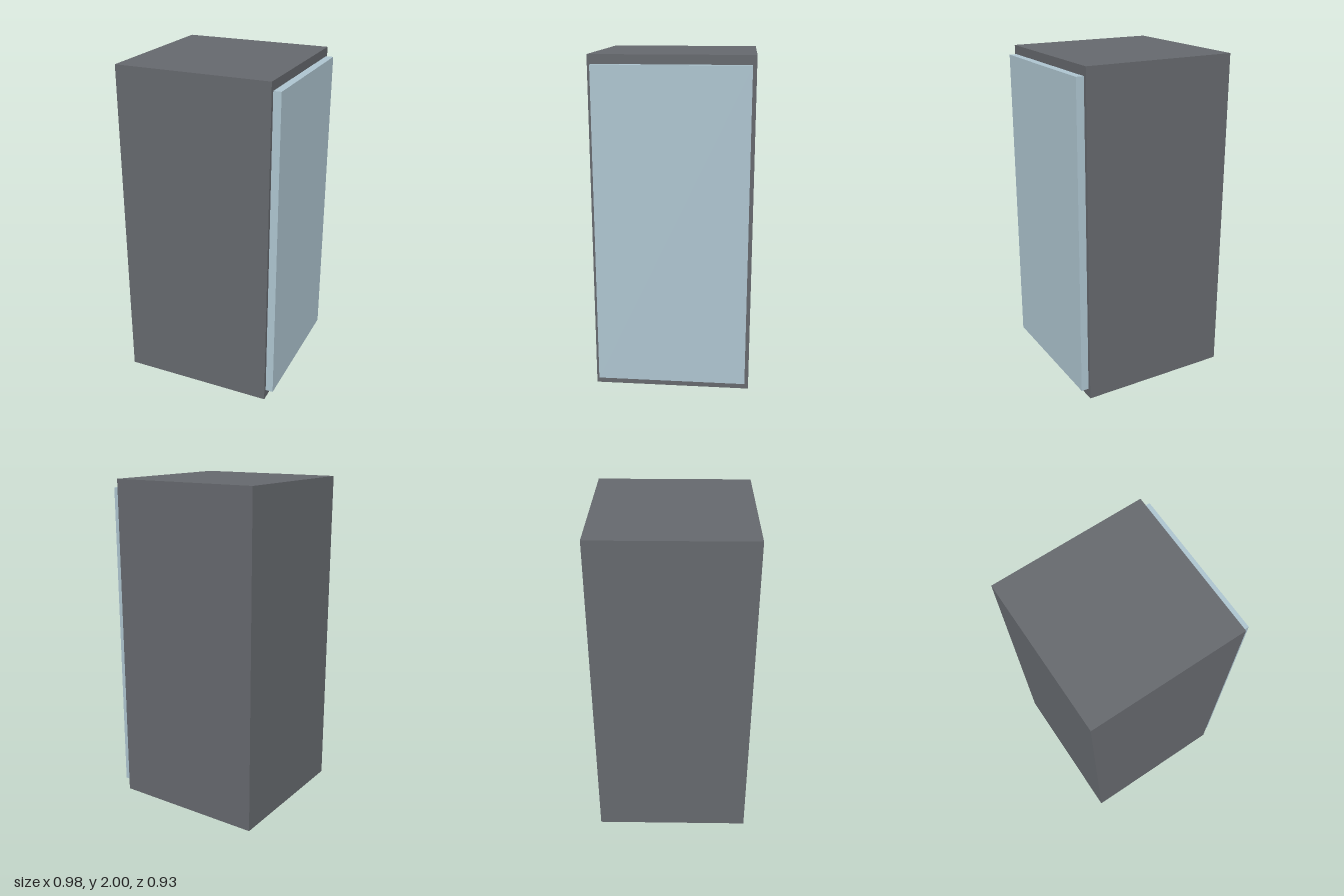
import * as THREE from 'three';

// Axis-aligned box given by its minimum and maximum corners
function box(name, color, min, max) {
  const size = max.map((v, i) => v - min[i]);
  const mesh = new THREE.Mesh(
    new THREE.BoxGeometry(...size),
    new THREE.MeshStandardMaterial({ color })
  );
  mesh.name = name;
  mesh.position.set(...min.map((v, i) => (v + max[i]) / 2));
  return mesh;
}

export function createModel() {
  const group = new THREE.Group();
  group.name = 'cabinet';

  const faceX = 0.443; // side of the body that carries the door

  // Dark upright body
  group.add(box('body', 0x65686d, [-0.489, 0, -0.467], [faceX, 2, 0.467]));

  // Pale door panel, inset from the edges of the body's side
  group.add(box('doorPanel', 0xadc4cf, [faceX, 0.055, -0.444], [0.489, 1.947, 0.444]));

  return group;
}
